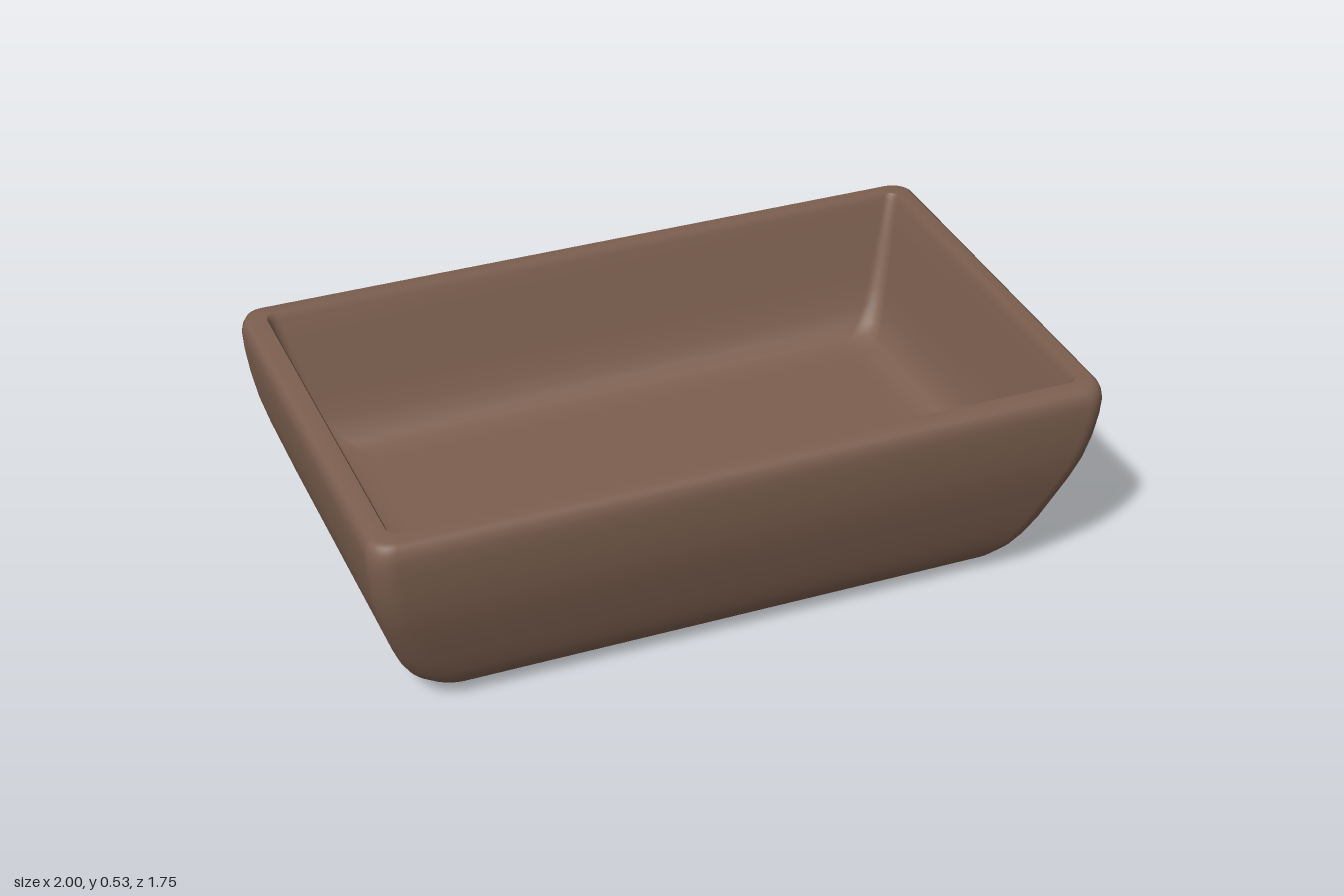
import * as THREE from 'three';

const HALF_LENGTH = 0.867, HALF_WIDTH = 0.536, CORNER_STEPS = 10;

// Rounded rectangle at height y, inset from the widest outline, corner radius r
function ring(inset, y, r) {
  const points = [];
  for (let c = 0; c < 4; c++) {
    const sx = c === 0 || c === 3 ? 1 : -1, sz = c < 2 ? 1 : -1;
    for (let i = 0; i <= CORNER_STEPS; i++) {
      const a = (c + i / CORNER_STEPS) * Math.PI / 2;
      points.push(
        sx * (HALF_LENGTH - inset - r) + r * Math.cos(a), y,
        sz * (HALF_WIDTH - inset - r) + r * Math.sin(a));
    }
  }
  return points;
}

// Skin between successive rings
function loft(profile) {
  const n = 4 * (CORNER_STEPS + 1), positions = [], index = [];
  profile.forEach(([inset, y, r]) => positions.push(...ring(inset, y, r)));
  for (let i = 0; i < profile.length - 1; i++) {
    for (let j = 0; j < n; j++) {
      const a = i * n + j, b = i * n + (j + 1) % n;
      index.push(a, a + n, b, b, a + n, b + n);
    }
  }
  const geometry = new THREE.BufferGeometry();
  geometry.setAttribute('position', new THREE.Float32BufferAttribute(positions, 3));
  geometry.setIndex(index);
  geometry.computeVertexNormals();
  return geometry;
}

export function createModel() {
  const group = new THREE.Group();
  const material = new THREE.MeshStandardMaterial({ color: 0x7d6050 });

  // Underside, bulging wall and rounded rim: [inset, height, corner radius]
  const outside = [
    [HALF_WIDTH, 0, 0], [0.26, 0.002, 0.1], [0.2, 0.01, 0.1], [0.165, 0.02, 0.1],
    [0.137, 0.037, 0.095], [0.115, 0.065, 0.09], [0.097, 0.1, 0.085],
    [0.077, 0.15, 0.08], [0.057, 0.21, 0.075], [0.037, 0.27, 0.07],
    [0.02, 0.33, 0.065], [0.009, 0.39, 0.06], [0.002, 0.45, 0.056],
    [0, 0.49, 0.055], [0.003, 0.51, 0.055], [0.01, 0.524, 0.05],
    [0.02, 0.53, 0.045], [0.055, 0.53, 0.025],
  ];
  // Sloping inner wall, fillet and floor
  const inside = [
    [0.055, 0.53, 0.025], [0.063, 0.515, 0.025], [0.078, 0.45, 0.028],
    [0.094, 0.38, 0.032], [0.11, 0.31, 0.036], [0.125, 0.26, 0.04],
    [0.142, 0.225, 0.045], [0.165, 0.202, 0.05], [0.195, 0.192, 0.05],
    [0.24, 0.19, 0.05], [HALF_WIDTH, 0.19, 0],
  ];
  for (const [name, profile] of [['outerShell', outside], ['innerBasin', inside]]) {
    const mesh = new THREE.Mesh(loft(profile), material);
    mesh.name = name;
    group.add(mesh);
  }

  // The tray sits turned on its base
  group.rotation.y = -Math.PI / 6;
  group.name = 'tray';
  const root = new THREE.Group();
  root.add(group);
  return root;
}
